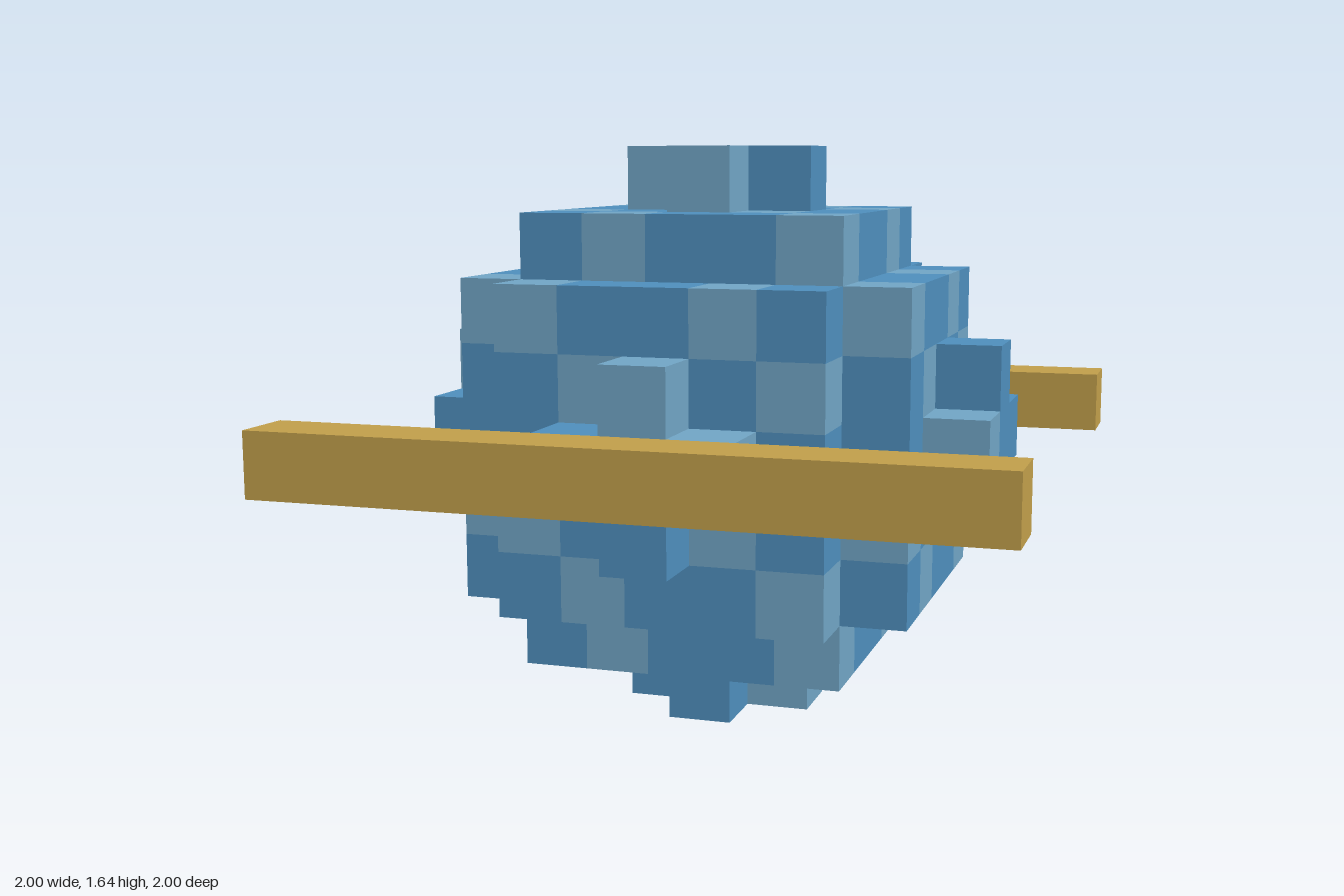
import * as THREE from 'three';
import { mergeGeometries } from 'three/addons/utils/BufferGeometryUtils.js';

const CELL = 2 / 11; // edge of one block
const MID = 4.5 * CELL; // height of the ball's centre

const material = (name, color) => {
  const m = new THREE.MeshStandardMaterial({ color });
  m.name = name;
  return m;
};

// The ball is every block whose centre lies within the radius
const inBall = (x, y, z) => x * x + y * y + z * z <= 17;

// Diagonal bands: every third block is light
const isLight = (x, y, z) => (x + y - z) % 3 === 0;

const DIRECTIONS = [
  [1, 0, 0], [-1, 0, 0], [0, 1, 0], [0, -1, 0], [0, 0, 1], [0, 0, -1],
];

// One square face of a block, looking outward along d
function blockFace(x, y, z, d) {
  const normal = new THREE.Vector3(...d);
  const turn = new THREE.Quaternion().setFromUnitVectors(new THREE.Vector3(0, 0, 1), normal);
  return new THREE.PlaneGeometry(CELL, CELL)
    .translate(0, 0, CELL / 2)
    .applyQuaternion(turn)
    .translate(x * CELL, y * CELL + MID, z * CELL);
}

export function createModel() {
  const model = new THREE.Group();
  model.name = 'blockBallWithSideBars';

  const lightBlue = material('lightBlue', 0x70a4c4);
  const deepBlue = material('deepBlue', 0x4e8ebc);
  const gold = material('gold', 0xc09e4a);

  // Ball: only the exposed block faces, sorted by colour
  const lightFaces = [];
  const deepFaces = [];
  for (let x = -4; x <= 4; x++) {
    for (let y = -4; y <= 4; y++) {
      for (let z = -4; z <= 4; z++) {
        if (!inBall(x, y, z)) continue;
        const faces = isLight(x, y, z) ? lightFaces : deepFaces;
        for (const d of DIRECTIONS) {
          if (!inBall(x + d[0], y + d[1], z + d[2])) faces.push(blockFace(x, y, z, d));
        }
      }
    }
  }
  const ball = new THREE.Group();
  ball.name = 'ball';
  const lightBlocks = new THREE.Mesh(mergeGeometries(lightFaces), lightBlue);
  lightBlocks.name = 'lightBlocks';
  const deepBlocks = new THREE.Mesh(mergeGeometries(deepFaces), deepBlue);
  deepBlocks.name = 'deepBlocks';
  ball.add(lightBlocks, deepBlocks);
  model.add(ball);

  // Long bars across the front and back
  for (const side of [1, -1]) {
    const bar = new THREE.Mesh(new THREE.BoxGeometry(2, CELL, CELL), gold);
    bar.name = side > 0 ? 'frontBar' : 'backBar';
    bar.position.set(0, MID, side * 5 * CELL);
    model.add(bar);
  }
  return model;
}
